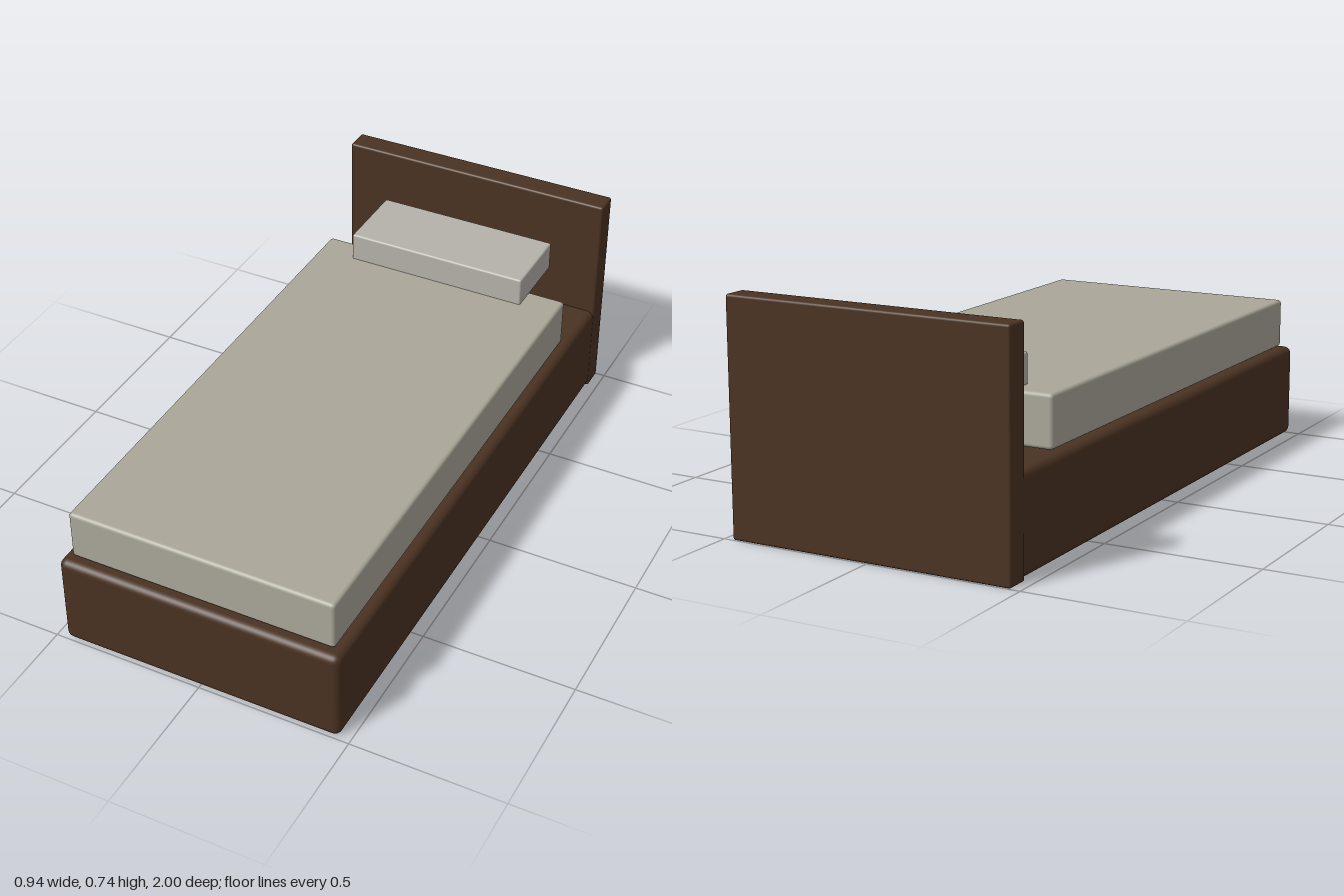
import * as THREE from 'three';
import { RoundedBoxGeometry } from 'three/addons/geometries/RoundedBoxGeometry.js';

// Soft-edged block given by its extents: half width, then y and z ranges
function block(name, halfWidth, [y0, y1], [z0, z1], radius, color) {
  const geometry = new RoundedBoxGeometry(2 * halfWidth, y1 - y0, z1 - z0, 3, radius);
  const mesh = new THREE.Mesh(geometry, new THREE.MeshStandardMaterial({ color }));
  mesh.name = name;
  mesh.position.set(0, (y0 + y1) / 2, (z0 + z1) / 2);
  return mesh;
}

export function createModel() {
  const bed = new THREE.Group();
  bed.name = 'bed';
  const wood = 0x4a3222;

  bed.add(
    // Solid base, its back end tucked into the headboard
    block('bedBase', 0.468, [0.004, 0.314], [-0.955, 1], 0.024, wood),
    // Upright board at the head, standing on the ground
    block('headboard', 0.47, [0, 0.735], [-1, -0.918], 0.008, wood),
    // Mattress, short of the headboard
    block('mattress', 0.438, [0.318, 0.482], [-0.705, 0.965], 0.012, 0xaaa799),
    // Pillow, overhanging the head end of the mattress
    block('pillow', 0.312, [0.476, 0.577], [-0.878, -0.618], 0.007, 0xb5b2ab),
  );
  return bed;
}
